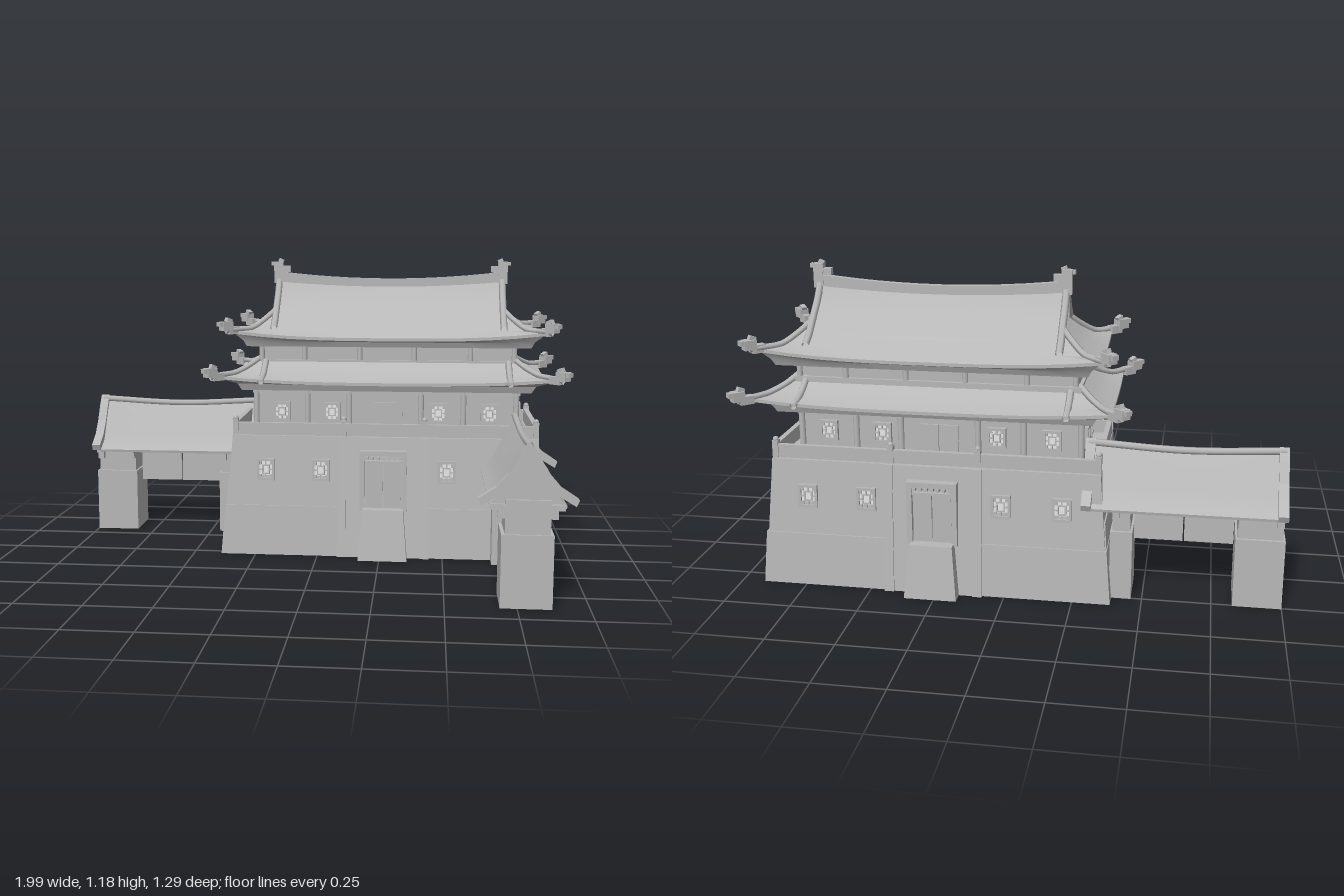
import * as THREE from 'three';
import { toCreasedNormals } from 'three/addons/utils/BufferGeometryUtils.js';

// double sided because the foot blocks are open below
const stone = new THREE.MeshStandardMaterial({ color: 0xb8b8b8, side: THREE.DoubleSide });
stone.name = 'grey stone';
const pale = new THREE.MeshStandardMaterial({ color: 0xf2f2f2 });
pale.name = 'pale pane';

const V = (x, y, z) => new THREE.Vector3(x, y, z);

function add(parent, name, geo, x = 0, y = 0, z = 0, mat = stone) {
  const m = new THREE.Mesh(geo, mat);
  m.name = name;
  m.position.set(x, y, z);
  parent.add(m);
  return m;
}
function group(parent, name, x = 0, y = 0, z = 0, ry = 0) {
  const g = new THREE.Group();
  g.name = name;
  g.position.set(x, y, z);
  g.rotation.y = ry;
  parent.add(g);
  return g;
}
// box given by its half sizes and its bottom and top heights
const block = (p, name, x, z, hx, hz, y0, y1) =>
  add(p, name, new THREE.BoxGeometry(hx * 2, y1 - y0, hz * 2), x, (y0 + y1) / 2, z);

// tapering block without an underside; foot and top are [half width, back z, front z]
function battered(p, name, x, foot, top, y0, y1) {
  const geo = new THREE.BoxGeometry(2, 2, 2);
  const a = geo.attributes.position;
  for (let i = 0; i < a.count; i++) {
    const [hx, zb, zf] = a.getY(i) > 0 ? top : foot;
    a.setXYZ(i, a.getX(i) * hx, a.getY(i) > 0 ? y1 : y0, a.getZ(i) > 0 ? zf : zb);
  }
  const idx = Array.from(geo.index.array);
  idx.splice(18, 6);
  geo.setIndex(idx);
  geo.computeVertexNormals();
  return add(p, name, geo, x);
}

// skin over closed cross-sections
function loft(rings, caps) {
  const n = rings[0].length, idx = [], last = (rings.length - 1) * n;
  for (let i = 0; i < rings.length - 1; i++)
    for (let j = 0; j < n; j++) {
      const a = i * n + j, b = i * n + (j + 1) % n;
      idx.push(a, b, a + n, b, b + n, a + n);
    }
  if (caps)
    for (let j = 1; j < n - 1; j++) idx.push(0, j + 1, j, last, last + j, last + j + 1);
  const geo = new THREE.BufferGeometry().setFromPoints(rings.flat());
  geo.setIndex(idx);
  return toCreasedNormals(geo, 0.5);
}

// rectangular ring with corners lifted
function eaveRing([hx, hz, y, lift = 0], n = 12) {
  const c = [[hx, -hz], [hx, hz], [-hx, hz], [-hx, -hz]], pts = [];
  c.forEach(([x, z], k) => {
    const [x2, z2] = c[(k + 1) % 4];
    for (let i = 0; i < n; i++) {
      const t = i / n;
      pts.push(V(x + (x2 - x) * t, y + lift * Math.abs(2 * t - 1) ** 3, z + (z2 - z) * t));
    }
  });
  return pts;
}

// solid curved gable running along z; the ridge sags in the middle, the eaves stay level
function gableSolid(profile, bottom, z0, z1, sag) {
  const rings = [], rise = profile[0][1] - bottom;
  for (let i = 0; i <= 12; i++) {
    const t = i / 12, z = z0 + (z1 - z0) * t;
    const point = (s, [x, y]) => V(s * x, y + sag * (2 * t - 1) ** 2 * ((y - bottom) / rise) ** 2, z);
    const right = profile.map((q) => point(1, q)).reverse();
    const left = profile.slice(1).map((q) => point(-1, q));
    rings.push([V(0, bottom, z), ...right, ...left]);
  }
  return loft(rings, true);
}

const tube = (p, name, pts, r) =>
  add(p, name, new THREE.TubeGeometry(new THREE.CatmullRomCurve3(pts), 14, r, 6));

// curled ornament pointing along +x
function ornament(parent, name, x, y, z, ry, s = 1) {
  const g = group(parent, name, x, y, z, ry);
  g.scale.setScalar(s);
  add(g, 'neck', new THREE.BoxGeometry(0.05, 0.03, 0.03), -0.02, -0.008, 0);
  add(g, 'head', new THREE.BoxGeometry(0.045, 0.036, 0.036), 0.012, 0.01, 0);
  add(g, 'snout', new THREE.BoxGeometry(0.026, 0.018, 0.026), 0.036, 0.018, 0);
  add(g, 'crest', new THREE.BoxGeometry(0.025, 0.016, 0.02), 0, 0.032, 0).rotation.z = 0.4;
}

// lattice window facing +z
function latticeWindow(parent, x, y, z, ry, w, h) {
  const g = group(parent, 'latticeWindow', x, y, z, ry);
  const rect = (S, a, b) => {
    const s = new S();
    s.moveTo(-a, -b); s.lineTo(a, -b); s.lineTo(a, b); s.lineTo(-a, b); s.closePath();
    return s;
  };
  const frame = rect(THREE.Shape, w / 2, h / 2);
  frame.holes.push(rect(THREE.Path, w / 2 - 0.01, h / 2 - 0.01));
  add(g, 'frame', new THREE.ExtrudeGeometry(frame, { depth: 0.014, bevelEnabled: false }));
  add(g, 'pane', new THREE.BoxGeometry(w - 0.02, h - 0.02, 0.006), 0, 0, 0.003, pale);
  const ring = rect(THREE.Shape, w * 0.22, h * 0.22);
  ring.holes.push(rect(THREE.Path, w * 0.22 - 0.005, h * 0.22 - 0.005));
  add(g, 'latticeRing', new THREE.ExtrudeGeometry(ring, { depth: 0.011, bevelEnabled: false }));
  for (const s of [-1, 1]) {
    add(g, 'bar', new THREE.BoxGeometry(w * 0.22, 0.005, 0.011), s * w * 0.31, 0, 0.006);
    add(g, 'bar', new THREE.BoxGeometry(0.005, h * 0.22, 0.011), 0, s * h * 0.31, 0.006);
    for (const t of [-1, 1])
      add(g, 'cornerBlock', new THREE.BoxGeometry(w * 0.14, h * 0.14, 0.011), s * w * 0.3, t * h * 0.3, 0.006);
  }
}

// hipped roof skirt with corner ridges
function hipRoof(parent, name, rows, tip) {
  add(parent, name, loft(rows.map((r) => eaveRing(r))));
  for (const sx of [-1, 1])
    for (const sz of [-1, 1]) {
      const pts = rows.slice(0, 4).map(([x, z, y, l = 0]) => V(sx * x, y + l + 0.006, sz * z));
      pts.push(V(sx * (tip[0] - 0.025), tip[1] - 0.008, sz * (tip[2] - 0.025)));
      tube(parent, 'hipRidge', pts, 0.012);
      ornament(parent, 'cornerOrnament', sx * (tip[0] - 0.035), tip[1], sz * (tip[2] - 0.035), Math.atan2(-sz, sx));
    }
}

// gate wing running outward along +z
function gateWing(parent, name, x, z, ry) {
  const g = group(parent, name, x, 0, z, ry);
  for (const [a, b] of [[0.545, 0.72], [0.1, 0.18]]) {
    const c = (a + b) / 2, h = (b - a) / 2;
    battered(g, 'pier', 0, [0.09, a, b], [0.09, a, b], 0, 0.26);
    block(g, 'pierNeck', 0, c, 0.078, h - 0.008, 0.26, 0.38);
    for (const s of [-1, 1])
      for (const zz of [a + 0.02, b - 0.02]) {
        block(g, 'bracket', s * 0.085, zz, 0.018, 0.012, 0.315, 0.345);
        block(g, 'bracketArm', s * 0.1, zz, 0.026, 0.012, 0.345, 0.365);
      }
  }
  for (const c of [0.27, 0.452]) block(g, 'doorLeaf', 0, c, 0.01, 0.0885, 0.207, 0.37);
  block(g, 'lintel', 0, 0.36, 0.05, 0.19, 0.345, 0.38);
  const slope = [[0, 0.55], [0.04, 0.493], [0.08, 0.427], [0.11, 0.383], [0.132, 0.36], [0.13, 0.35]];
  add(g, 'wingRoof', gableSolid(slope, 0.35, 0.02, 0.7, 0.015));
  tube(g, 'wingRidge', [V(0, 0.568, 0.01), V(0, 0.552, 0.36), V(0, 0.568, 0.71)], 0.013);
  // curved gable boards at both ends
  const outer = [[0, 0.582], [0.03, 0.54], [0.07, 0.472], [0.11, 0.425], [0.17, 0.385]];
  const inner = [[0.16, 0.362], [0.1, 0.398], [0.055, 0.455], [0, 0.54]];
  const all = [...outer, ...inner];
  const board = new THREE.Shape([...all, ...all.slice(1, -1).reverse().map(([a, b]) => [-a, b])].map(([a, b]) => new THREE.Vector2(a, b)));
  for (const zz of [0, 0.685])
    add(g, 'gableBoard', new THREE.ExtrudeGeometry(board, { depth: 0.035, bevelEnabled: false }), 0, 0, zz);
}

export function createModel() {
  const root = new THREE.Group();
  root.name = 'gatehouse';

  // battered stone base, hollow below the first course
  const base = group(root, 'base', 0.263, 0, -0.266);
  battered(base, 'plinth', 0, [0.652, -0.3, 0.3], [0.636, -0.288, 0.288], 0, 0.2);
  battered(base, 'baseWall', 0, [0.63, -0.282, 0.282], [0.608, -0.259, 0.259], 0.2, 0.48);
  battered(base, 'sideBand', 0, [0.634, -0.27, 0.27], [0.627, -0.262, 0.262], 0.2, 0.3);
  for (const s of [-1, 1]) {
    const side = group(base, 'longSide', 0, 0, 0, s > 0 ? 0 : Math.PI);
    battered(side, 'centreBay', 0, [0.18, 0.28, 0.306], [0.168, 0.24, 0.264], 0, 0.48);
    battered(side, 'ramp', 0, [0.097, 0.28, 0.36], [0.08, 0.27, 0.334], 0, 0.2);
    block(side, 'longParapet', 0, 0.237, 0.6, 0.009, 0.47, 0.53);
    block(base, 'endParapet', s * 0.596, 0, 0.01, 0.24, 0.47, 0.535);
    for (const t of [-1, 1]) battered(side, 'pilaster', t * 0.165, [0.018, 0.28, 0.312], [0.015, 0.24, 0.27], 0, 0.48);
    for (const t of [-1, -0.27, 0.27, 1]) {
      block(side, 'parapetPost', t * 0.598, 0.237, 0.011, 0.013, 0.47, 0.545);
      add(side, 'postCap', new THREE.SphereGeometry(0.011, 8, 6), t * 0.598, 0.548, 0.237);
    }
    // door and windows
    for (const t of [-1, 1]) {
      block(side, 'doorJamb', t * 0.083, 0.279, 0.01, 0.022, 0.19, 0.43);
      block(side, 'doorLeaf', t * 0.036, 0.276, 0.0345, 0.015, 0.19, 0.38);
      for (const x of [0.25, 0.472]) latticeWindow(side, t * x, 0.345, 0.266, 0, 0.072, 0.088);
    }
    block(side, 'doorHead', 0, 0.279, 0.093, 0.022, 0.41, 0.43);
    block(side, 'doorBeam', 0, 0.279, 0.075, 0.016, 0.38, 0.39);
    for (let i = -3; i <= 3; i++) block(side, 'transomBlock', i * 0.022, 0.279, 0.006, 0.016, 0.394, 0.406);
  }

  // lower hall
  const hall = group(root, 'lowerHall', 0.263, 0, -0.263);
  block(hall, 'hallWalls', 0, 0, 0.532, 0.15, 0.47, 0.71);
  block(hall, 'hallBeam', 0, 0, 0.54, 0.158, 0.64, 0.67);
  for (const s of [-1, 1]) {
    for (const x of [-0.525, -0.315, -0.145, 0.145, 0.315, 0.525])
      add(hall, 'column', new THREE.CylinderGeometry(0.012, 0.012, 0.22, 10), x, 0.58, s * 0.15);
    add(hall, 'sideColumn', new THREE.CylinderGeometry(0.012, 0.012, 0.22, 10), s * 0.532, 0.58, 0);
    for (const x of [-0.42, -0.215, 0.215, 0.42]) latticeWindow(hall, x, 0.565, s * 0.15, s > 0 ? 0 : Math.PI, 0.07, 0.078);
    for (const z of [-0.075, 0.075]) latticeWindow(hall, s * 0.532, 0.565, z, s * Math.PI / 2, 0.068, 0.078);
    for (const t of [-1, 1]) block(hall, 'hallDoorLeaf', t * 0.037, s * 0.15, 0.035, 0.008, 0.47, 0.605);
  }

  // lower roof with a beam under the eaves
  const low = group(root, 'lowerRoof', 0.265, 0, -0.277);
  hipRoof(low, 'lowerRoofTiles', [
    [0.52, 0.145, 0.772], [0.56, 0.19, 0.742, 0.002], [0.605, 0.24, 0.716, 0.007], [0.645, 0.296, 0.7, 0.02],
    [0.645, 0.296, 0.688, 0.02], [0.592, 0.254, 0.684, 0.004], [0.575, 0.243, 0.66], [0.52, 0.145, 0.66]], [0.712, 0.728, 0.36]);
  for (const sx of [-1, 1])
    for (const sz of [-1, 1])
      tube(low, 'slopeRib', [V(sx * 0.49, 0.77, sz * 0.15), V(sx * 0.49, 0.724, sz * 0.23), V(sx * 0.49, 0.702, sz * 0.31)], 0.013);

  // upper storey
  const upper = group(root, 'upperStorey', 0.268, 0, -0.286);
  block(upper, 'upperWalls', 0, 0, 0.52, 0.148, 0.7, 0.86);
  block(upper, 'upperSill', 0, 0, 0.533, 0.161, 0.755, 0.776);
  for (const s of [-1, 1]) {
    for (const x of [-0.51, -0.335, -0.11, 0.11, 0.335, 0.51])
      add(upper, 'column', new THREE.CylinderGeometry(0.011, 0.011, 0.1, 10), x, 0.8, s * 0.148);
    add(upper, 'sideColumn', new THREE.CylinderGeometry(0.011, 0.011, 0.1, 10), s * 0.52, 0.8, 0);
  }

  // main roof: hipped skirt below, gable above
  const top = group(root, 'mainRoof', 0.272, 0, -0.289);
  hipRoof(top, 'mainRoofSkirt', [
    [0.455, 0.1, 0.978], [0.5, 0.145, 0.935], [0.55, 0.195, 0.9], [0.607, 0.252, 0.872, 0.025],
    [0.607, 0.252, 0.86, 0.025], [0.578, 0.238, 0.855, 0.004], [0.565, 0.228, 0.834], [0.5, 0.14, 0.834]], [0.667, 0.908, 0.302]);
  const slope = [[0, 1.085], [0.03, 1.043], [0.06, 1.01], [0.1, 0.976], [0.105, 0.945]];
  add(top, 'mainGable', gableSolid(slope, 0.94, -0.455, 0.455, 0.025)).rotation.y = Math.PI / 2;
  const ridge = [];
  for (let i = 0; i <= 12; i++) {
    const x = -0.475 + (0.95 * i) / 12, y = 1.09 + 0.03 * (x / 0.475) ** 2;
    ridge.push([V(x, y - 0.04, -0.013), V(x, y + 0.01, -0.013), V(x, y + 0.01, 0.013), V(x, y - 0.04, 0.013)]);
  }
  add(top, 'mainRidge', loft(ridge, true));
  for (const sx of [-1, 1]) {
    block(top, 'ridgeEnd', sx * 0.463, 0, 0.018, 0.015, 1.08, 1.15);
    ornament(top, 'ridgeOrnament', sx * 0.452, 1.146, 0, sx > 0 ? 0 : Math.PI, 0.85);
    block(top, 'gablePendant', sx * 0.462, 0, 0.01, 0.008, 1.0, 1.055);
    for (const sz of [-1, 1])
      tube(top, 'vergeRidge', [V(sx * 0.46, 1.1, 0), V(sx * 0.46, 1.045, sz * 0.04), V(sx * 0.46, 0.988, sz * 0.1),
        V(sx * 0.46, 0.935, sz * 0.155), V(sx * 0.46, 0.905, sz * 0.2)], 0.014);
  }

  // gate wings
  gateWing(root, 'frontWing', 0.78, -0.08, 0);
  gateWing(root, 'sideWing', -0.28, -0.415, -Math.PI / 2);
  return root;
}
